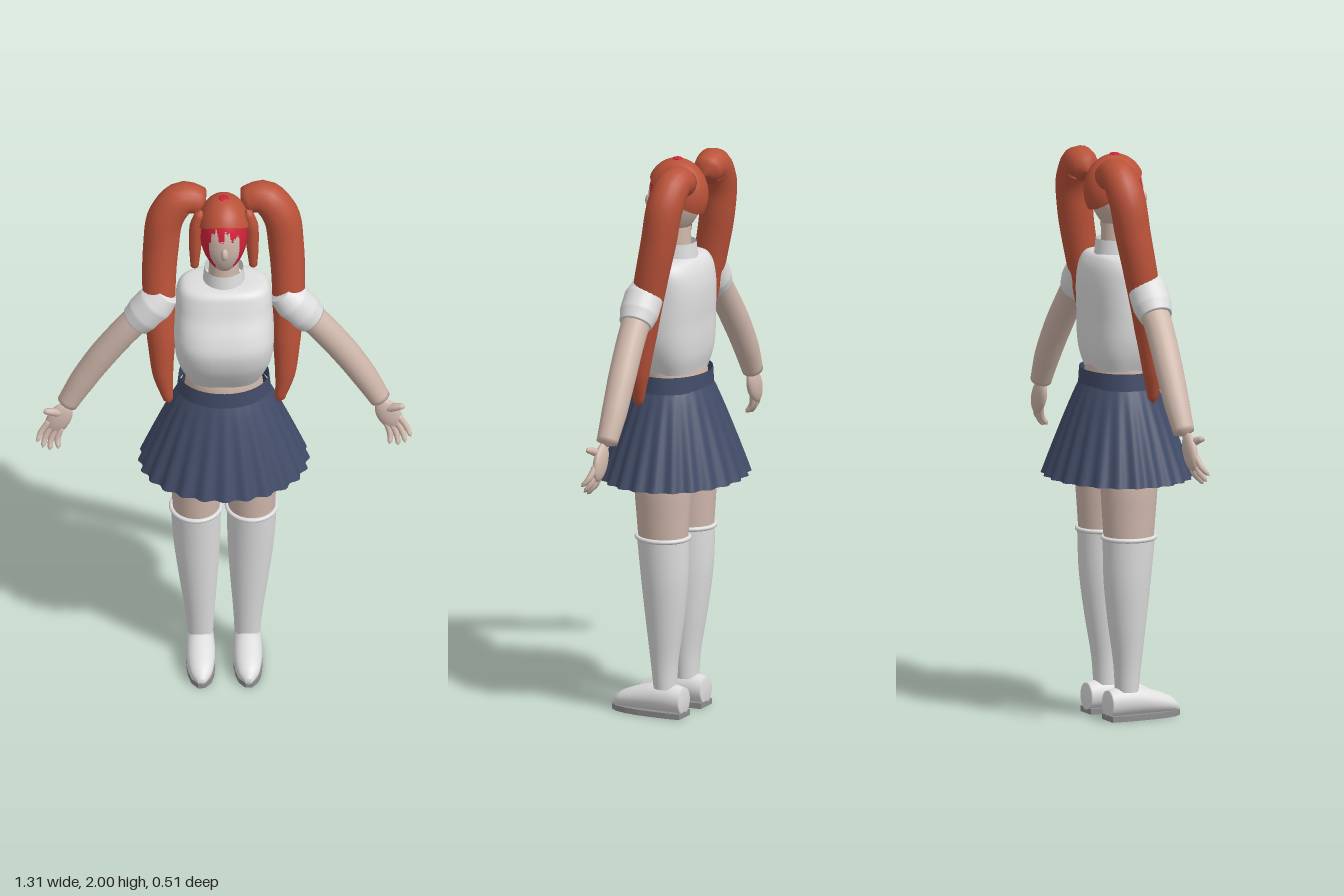
import * as THREE from 'three';
import { mergeVertices } from 'three/addons/utils/BufferGeometryUtils.js';

const mat = (name, color, side = THREE.FrontSide) => {
  const m = new THREE.MeshStandardMaterial({ color, side });
  m.name = name;
  return m;
};

// Smooth surface closed around u; f(u, v) returns [x, y, z]
function surface(nu, nv, f) {
  const pos = [], idx = [];
  for (let j = 0; j <= nv; j++)
    for (let i = 0; i < nu; i++) pos.push(...f(i / nu, j / nv));
  for (let j = 0; j < nv; j++)
    for (let i = 0; i < nu; i++) {
      const a = j * nu + i, b = j * nu + (i + 1) % nu;
      idx.push(a, b, b + nu, a, b + nu, a + nu);
    }
  const g = new THREE.BufferGeometry();
  g.setAttribute('position', new THREE.Float32BufferAttribute(pos, 3));
  g.setIndex(idx);
  g.computeVertexNormals();
  return g;
}

// Spline through rows of numbers
function sample(rows, v) {
  const n = rows.length - 1, i = Math.min(Math.floor(v * n), n - 1), t = v * n - i;
  const at = k => rows[Math.max(0, Math.min(n, k))];
  return rows[0].map((_, c) => {
    const p0 = at(i - 1)[c], p1 = at(i)[c], p2 = at(i + 1)[c], p3 = at(i + 2)[c];
    return p1 + 0.5 * t * (p2 - p0 + t * (2 * p0 - 5 * p1 + 4 * p2 - p3 + t * (3 * (p1 - p2) + p3 - p0)));
  });
}

// Rows from bottom to top: [y, half width, front z, back z, centre x]
function loft(rows, power = 2, nv = 32) {
  const bend = k => Math.sign(k) * Math.abs(k) ** (2 / power);
  return surface(40, nv, (u, v) => {
    const [y, rx, zf, zb, cx] = sample(rows, v), a = u * Math.PI * 2;
    return [cx + rx * bend(Math.sin(a)), y, (zf + zb) / 2 + (zf - zb) / 2 * bend(Math.cos(a))];
  });
}

// Tapered tube through points [x, y, z, radius], closed at both ends
function limb(points, seg = 28, sides = 18) {
  const curve = new THREE.CatmullRomCurve3(points.map(p => new THREE.Vector3(p[0], p[1], p[2])));
  const g = new THREE.TubeGeometry(curve, seg, 1, sides), P = g.attributes.position, q = new THREE.Vector3();
  for (let k = 0; k < P.count; k++) {
    const i = Math.floor(k / (sides + 1)), u = i / seg, c = curve.getPointAt(u);
    const f = curve.getUtoTmapping(u) * (points.length - 1), n = Math.min(Math.floor(f), points.length - 2);
    const r = i === 0 || i === seg ? 0.0005 : THREE.MathUtils.lerp(points[n][3], points[n + 1][3], f - n);
    q.fromBufferAttribute(P, k).sub(c).multiplyScalar(r).add(c);
    P.setXYZ(k, q.x, q.y, q.z);
  }
  g.deleteAttribute('uv');
  g.deleteAttribute('normal');
  const m = mergeVertices(g, 1e-5);
  m.computeVertexNormals();
  return m;
}

export function createModel() {
  const root = new THREE.Group();
  const skin = mat('skin', 0xd0b8ac), hair = mat('hair', 0xba5239, THREE.DoubleSide);
  const red = mat('red hair', 0xd02238), cloth = mat('white cloth', 0xdedede, THREE.DoubleSide);
  const navy = mat('navy skirt', 0x424c68, THREE.DoubleSide), sole = mat('grey sole', 0x8e8e90);
  const add = (name, geo, m) => {
    const mesh = new THREE.Mesh(geo, m);
    mesh.name = name;
    root.add(mesh);
    return mesh;
  };

  // Head with a narrowed chin; red painted sides and ragged fringe
  const head = new THREE.SphereGeometry(1, 72, 56), hp = head.attributes.position;
  for (let i = 0; i < hp.count; i++) {
    const y = hp.getY(i), t = Math.max(0, -y);
    hp.setXYZ(i, hp.getX(i) * 0.083 * (1 - 0.22 * t * t), 1.84 + y * 0.14,
      hp.getZ(i) * 0.1 * (1 - 0.15 * t) + 0.022 * t - 0.004);
  }
  head.computeVertexNormals();
  const parts = [[], []], ix = head.index.array;
  for (let i = 0; i < ix.length; i += 3) {
    const tri = [ix[i], ix[i + 1], ix[i + 2]];
    const mid = get => tri.reduce((s, k) => s + hp[get](k), 0) / 3;
    const x = mid('getX'), y = mid('getY'), z = mid('getZ');
    const side = z > 0.008 && z < 0.072 && Math.abs(x) > 0.03 && y > 1.725;
    const fringe = z > 0.03 && y > 1.885 + 0.022 * Math.sin(x * 150) + 0.01 * Math.sin(x * 410);
    parts[side || fringe ? 1 : 0].push(...tri);
  }
  head.setIndex([...parts[0], ...parts[1]]);
  head.addGroup(0, parts[0].length, 0);
  head.addGroup(parts[0].length, parts[1].length, 1);
  add('head', head, [skin, red]);
  const nose = add('nose', new THREE.SphereGeometry(1, 16, 12), skin);
  nose.scale.set(0.013, 0.024, 0.016);
  nose.position.set(0, 1.82, 0.1);

  // Hair cap, higher over the forehead than at the nape
  add('hairCap', surface(48, 20, (u, v) => {
    const a = u * Math.PI * 2, edge = 1.862 + 0.065 * Math.cos(a);
    const th = Math.acos((edge - 1.86) / 0.126) * (1 - v) + 0.001;
    return [0.092 * Math.sin(th) * Math.sin(a), 1.86 + 0.126 * Math.cos(th), -0.01 + 0.112 * Math.sin(th) * Math.cos(a)];
  }), hair);
  const dot = add('crownDot', new THREE.SphereGeometry(0.018, 16, 10), red);
  dot.scale.y = 0.3;
  dot.position.set(0, 1.985, -0.01);

  // Neck, collar, shirt, waist and hips
  add('neck', new THREE.CylinderGeometry(0.05, 0.055, 0.18, 24), skin).position.set(0, 1.68, -0.005);
  add('collar', new THREE.CylinderGeometry(0.068, 0.074, 0.06, 32, 1, true), cloth).position.set(0, 1.66, -0.008);
  add('shirt', loft([
    [1.235, 0.128, 0.095, -0.1, 0], [1.29, 0.152, 0.13, -0.115, 0], [1.35, 0.168, 0.16, -0.12, 0],
    [1.42, 0.174, 0.174, -0.12, 0], [1.48, 0.172, 0.158, -0.122, 0], [1.54, 0.168, 0.128, -0.12, 0],
    [1.59, 0.165, 0.11, -0.11, 0], [1.622, 0.153, 0.098, -0.095, 0], [1.637, 0.125, 0.08, -0.08, 0],
    [1.642, 0.06, 0.045, -0.06, 0]], 2.7, 45), cloth);
  add('waist', loft([[1.16, 0.14, 0.1, -0.11, 0], [1.22, 0.132, 0.1, -0.108, 0], [1.27, 0.13, 0.09, -0.1, 0]]), skin);
  add('hips', loft([
    [0.84, 0.01, 0.01, -0.02, 0], [0.842, 0.085, 0.06, -0.07, 0], [0.88, 0.135, 0.09, -0.115, 0],
    [0.96, 0.165, 0.1, -0.12, 0], [1.06, 0.155, 0.1, -0.115, 0], [1.18, 0.135, 0.1, -0.105, 0]], 2.2), skin);

  // Pleated skirt and waistband
  add('waistband', loft([[1.172, 0.163, 0.132, -0.128, 0], [1.232, 0.157, 0.128, -0.125, 0]], 2, 4), navy);
  add('skirt', surface(192, 12, (u, v) => {
    const a = u * Math.PI * 2, d = 1 - v, k = d ** 0.9;
    const wave = 0.007 * d * Math.cos(a * 24);
    return [(0.15 + 0.142 * k + wave) * Math.sin(a), 1.185 - 0.332 * d, (0.125 + 0.124 * k + wave) * Math.cos(a)];
  }), navy);

  for (const s of [1, -1]) {
    const side = s > 0 ? 'left' : 'right';
    const tube = (name, pts, m, seg, n) => add(side + name, limb(pts.map(([x, ...r]) => [s * x, ...r]), seg, n), m);

    // Pigtail and the short lock in front of the ear
    tube('Pigtail', [[0.06, 1.915, -0.08, 0.045], [0.14, 1.938, -0.075, 0.06], [0.198, 1.87, -0.066, 0.064],
      [0.218, 1.74, -0.05, 0.062], [0.225, 1.58, -0.02, 0.058], [0.218, 1.4, 0.012, 0.05],
      [0.212, 1.25, 0.03, 0.036], [0.19, 1.13, 0.042, 0.014]], hair, 48, 20);
    tube('Lock', [[0.08, 1.945, 0.005, 0.015], [0.096, 1.88, 0.005, 0.023], [0.1, 1.78, 0.005, 0.021],
      [0.102, 1.69, 0.005, 0.013]], hair, 20, 12);

    // Puffed sleeve and arm
    tube('Sleeve', [[0.195, 1.588, -0.003, 0.048], [0.235, 1.54, -0.002, 0.068], [0.275, 1.492, -0.003, 0.068],
      [0.308, 1.456, -0.005, 0.056]], cloth, 36, 24);
    tube('Arm', [[0.25, 1.52, -0.004, 0.052], [0.33, 1.43, -0.007, 0.05], [0.42, 1.305, -0.015, 0.049],
      [0.49, 1.19, -0.02, 0.045], [0.55, 1.08, -0.018, 0.036]], skin, 36, 20);

    // Hand with thumb and four fingers
    const palm = add(side + 'Palm', new THREE.SphereGeometry(1, 20, 14), skin);
    palm.scale.set(0.042, 0.07, 0.02);
    palm.position.set(s * 0.573, 1.03, -0.01);
    palm.rotation.z = s * 0.45;
    tube('Thumb', [[0.565, 1.055, -0.008, 0.015], [0.597, 1.072, 0.006, 0.014], [0.628, 1.083, 0.016, 0.009]], skin, 10, 8);
    const fingers = [[0.612, 1.01, 0.65, 0.955], [0.602, 0.992, 0.63, 0.93], [0.588, 0.98, 0.605, 0.918], [0.572, 0.98, 0.575, 0.925]];
    for (const [x, y, tx, ty] of fingers)
      tube('Finger', [[x - 0.01, y + 0.02, -0.008, 0.011], [(x + tx) / 2 + 0.004, (y + ty) / 2, 0.004, 0.011],
        [tx, ty, 0.026, 0.007]], skin, 10, 8);

    // Leg, stocking and cuff
    add(side + 'Thigh', loft([[0.6, 0.078, 0.08, -0.09, s * 0.096], [0.72, 0.086, 0.09, -0.098, s * 0.096],
      [0.85, 0.092, 0.098, -0.105, s * 0.096], [1.0, 0.085, 0.09, -0.1, s * 0.09]]), skin);
    add(side + 'Stocking', loft([[0.1, 0.045, 0.035, -0.045, s * 0.082], [0.2, 0.052, 0.045, -0.052, s * 0.084],
      [0.35, 0.068, 0.06, -0.075, s * 0.089], [0.5, 0.081, 0.074, -0.092, s * 0.094],
      [0.65, 0.087, 0.088, -0.096, s * 0.097]]), cloth);
    const cuff = add(side + 'Cuff', new THREE.TorusGeometry(0.086, 0.008, 10, 40), cloth);
    cuff.rotation.x = Math.PI / 2;
    cuff.scale.y = 1.07;
    cuff.position.set(s * 0.097, 0.647, -0.004);

    // Shoe rows: [z, half width, top]
    const rows = [[-0.08, 0.041, 0.106], [-0.03, 0.047, 0.115], [0.03, 0.05, 0.113], [0.08, 0.05, 0.101],
      [0.13, 0.045, 0.084], [0.17, 0.034, 0.064], [0.198, 0.012, 0.036]];
    add(side + 'Shoe', surface(28, 32, (u, v) => {
      const [z, w, top] = sample(rows, Math.max(0, Math.min(1, (v - 1 / 32) * 32 / 30)));
      const a = u * Math.PI * 2, k = v === 0 || v === 1 ? 0.001 : 1, h = (top - 0.012) / 2;
      return [s * 0.082 + k * w * Math.cos(a), 0.012 + h + k * h * Math.sin(a), z];
    }), cloth);
    const right = rows.map(([z, w]) => new THREE.Vector2(w, -z));
    const left = rows.map(([z, w]) => new THREE.Vector2(-w, -z)).reverse();
    const soleGeo = new THREE.ExtrudeGeometry(new THREE.Shape([...right, ...left]), { depth: 0.02, bevelEnabled: false });
    soleGeo.rotateX(-Math.PI / 2);
    add(side + 'Sole', soleGeo, sole).position.x = s * 0.082;
  }
  return root;
}
